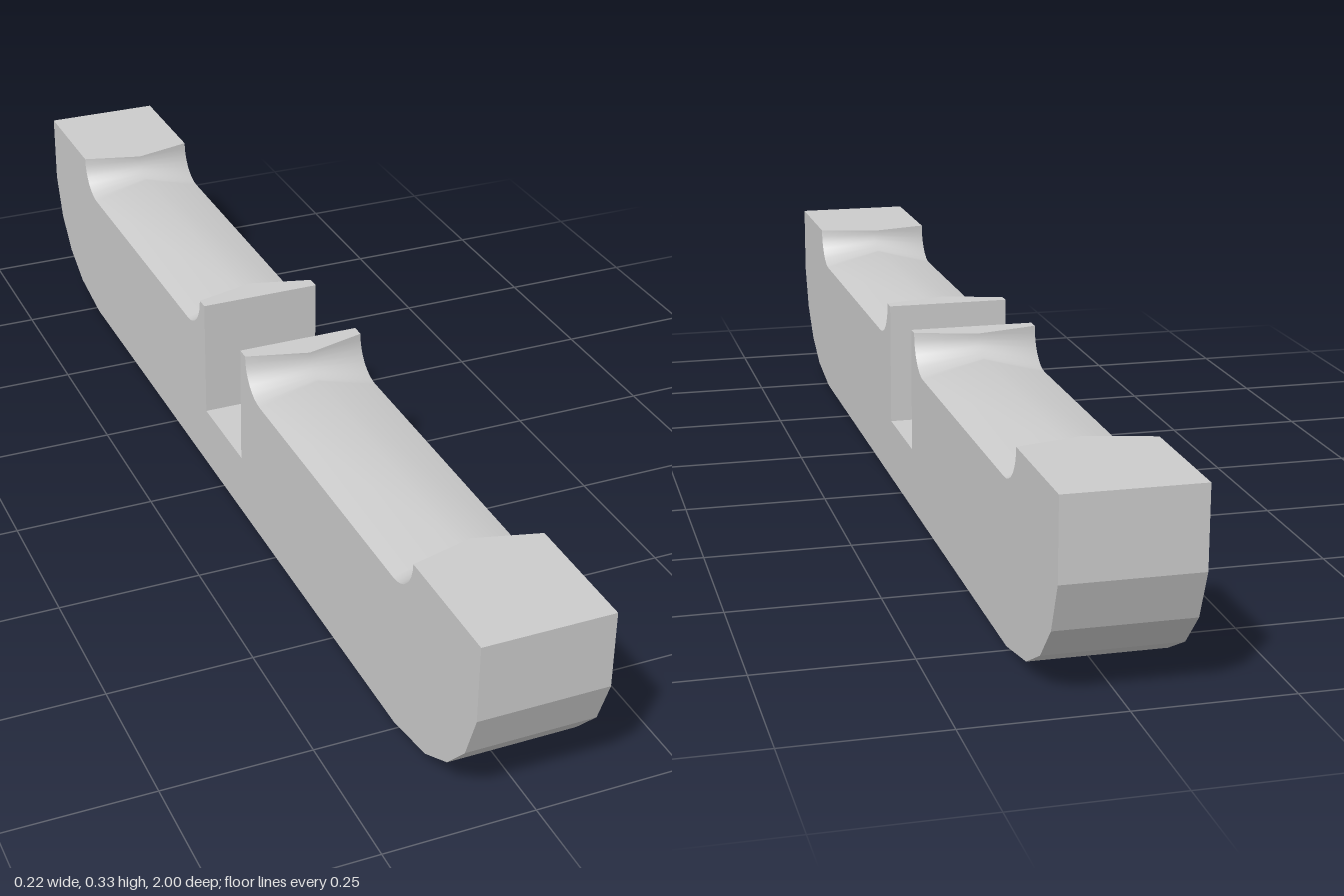
import * as THREE from 'three';

const H = 0.327;        // height
const W = 0.108;        // half width
const ARC = 8;          // segments per recess fillet
const R_SIDE = 0.066, R_MID = 0.037;  // recess depth at the sides and along the crown

// Fillet, floor and fillet of one recess, as [z, y] points from outside to inside.
function recessPoints(r) {
  const pts = [];
  for (let i = 0; i <= ARC; i++) {
    const t = (i / ARC) * Math.PI / 2;
    pts.push([0.716 + r * Math.cos(t), H - r * Math.sin(t)]);
  }
  for (let i = ARC; i >= 0; i--) {
    const t = (i / ARC) * Math.PI / 2;
    pts.push([0.177 - r * Math.cos(t), H - r * Math.sin(t)]);
  }
  return pts;
}

const mirrorZ = pts => pts.map(([z, y]) => [-z, y]).reverse();

// Half of the closed outline: rounded bow, top, recess and centre slot.
function outline(r) {
  const half = [
    [0.735, 0], [0.845, 0.021], [0.917, 0.06], [0.97, 0.118], [1, 0.197], [1, H],
    ...recessPoints(r), [0.088, H], [0.088, 0.11],
  ];
  return [...half, ...mirrorZ(half)];
}

// Surface across the width through the given sections; keep(i) chooses the segments.
function loft(sections, keep) {
  const n = sections[0].length, pos = [], idx = [];
  sections.forEach((s, k) => s.forEach(([z, y]) => pos.push((k - 1) * W, y, z)));
  for (let k = 0; k < 2; k++) {
    for (let i = 0; i < n; i++) {
      if (!keep(i)) continue;
      const a = k * n + i, b = k * n + (i + 1) % n;
      idx.push(a, a + n, b, b, a + n, b + n);
    }
  }
  const g = new THREE.BufferGeometry();
  g.setAttribute('position', new THREE.Float32BufferAttribute(pos, 3));
  g.setIndex(idx);
  return g;
}

// Flat side wall closing the outline.
function sideWall(section, sign) {
  const pts = section.map(([z, y]) => new THREE.Vector2(z, y));
  const pos = section.flatMap(([z, y]) => [sign * W, y, z]);
  const tris = THREE.ShapeUtils.triangulateShape(pts, []);
  const g = new THREE.BufferGeometry();
  g.setAttribute('position', new THREE.Float32BufferAttribute(pos, 3));
  g.setIndex(tris.flatMap(([a, b, c]) => (sign < 0 ? [a, b, c] : [a, c, b])));
  g.computeVertexNormals();
  return g;
}

export function createModel() {
  const group = new THREE.Group();
  const material = new THREE.MeshStandardMaterial({ color: 0xcccccc });
  const add = (name, geometry) => {
    const mesh = new THREE.Mesh(geometry, material);
    mesh.name = name;
    group.add(mesh);
  };

  const side = outline(R_SIDE), mid = outline(R_MID);
  const sections = [side, mid, side];
  const n = side.length, first = 6, count = 2 * ARC + 1;
  const inFront = i => i >= first && i < first + count;
  const inBack = i => inFront(n - 2 - i);

  // Faceted hull, slot and flat tops
  const hull = loft(sections, i => !inFront(i) && !inBack(i)).toNonIndexed();
  hull.computeVertexNormals();
  add('body', hull);

  // Smooth crowned recesses
  for (const [name, keep] of [['frontRecess', inFront], ['backRecess', inBack]]) {
    const g = loft(sections, keep);
    g.computeVertexNormals();
    add(name, g);
  }

  // Side walls
  add('leftSide', sideWall(side, 1));
  add('rightSide', sideWall(side, -1));
  return group;
}
